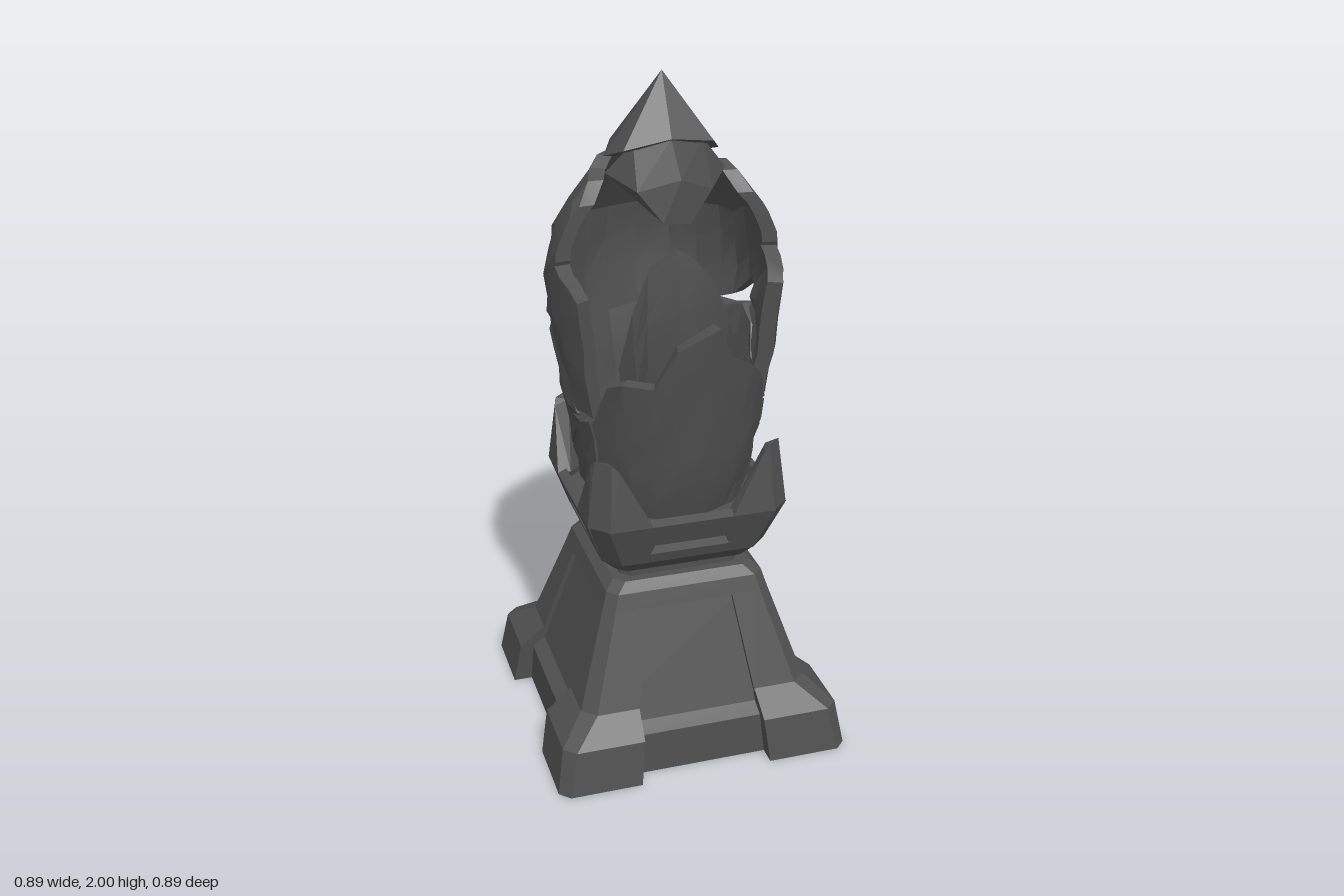
import * as THREE from 'three';
import { ConvexGeometry } from 'three/addons/geometries/ConvexGeometry.js';
import { toCreasedNormals } from 'three/addons/utils/BufferGeometryUtils.js';

const V = (x, y, z) => new THREE.Vector3(x, y, z);

export function createModel() {
  const model = new THREE.Group();
  const stone = new THREE.MeshStandardMaterial({ color: 0x505050 });
  stone.name = 'dark stone';

  const add = (name, geometry, parent = model) => {
    const mesh = new THREE.Mesh(geometry, stone);
    mesh.name = name;
    parent.add(mesh);
    return mesh;
  };
  const group = (name) => {
    const g = new THREE.Group();
    g.name = name;
    model.add(g);
    return g;
  };
  const hull = (name, points, parent) =>
    add(name, new ConvexGeometry(points.map((p) => V(...p))), parent);

  // Square ring with chamfered corners
  const ring = (y, h, c) => {
    const pts = [];
    for (const sx of [-1, 1]) for (const sz of [-1, 1])
      pts.push([sx * h, y, sz * (h - c)], [sx * (h - c), y, sz * h]);
    return pts;
  };
  // Stack of blocks between successive rings [y, half width, chamfer]
  const stack = (name, rings, parent) => {
    for (let i = 0; i + 1 < rings.length; i++)
      hull(name, [...ring(...rings[i]), ...ring(...rings[i + 1])], parent);
  };
  // Corner section of a square ring, from a to h on both axes
  const corner = (y, a, h, c) => [
    [a, y, a], [h, y, a], [a, y, h], [h, y, h - c], [h - c, y, h],
  ];
  const fourTimes = (build) => {
    for (let i = 0; i < 4; i++) build((i * Math.PI) / 2);
  };

  // Pedestal: recessed core, corner feet, pillars and top band
  const pedestal = group('pedestal');
  stack('pedestalCore', [[0, 0.39, 0.02], [0.13, 0.385, 0.02], [0.155, 0.345, 0.02], [0.51, 0.232, 0.02]], pedestal);
  stack('pedestalTopBand', [[0.48, 0.256, 0.03], [0.53, 0.241, 0.03], [0.555, 0.212, 0.03]], pedestal);
  fourTimes((turn) => {
    hull('foot', [
      ...corner(0, 0.2, 0.447, 0.03),
      ...corner(0.135, 0.185, 0.425, 0.035),
      ...corner(0.2, 0.18, 0.347, 0.04),
    ], pedestal).rotation.y = turn;
    hull('pillar', [
      ...corner(0.19, 0.18, 0.351, 0.04),
      ...corner(0.52, 0.13, 0.243, 0.03),
    ], pedestal).rotation.y = turn;
  });
  stack('neck', [[0.54, 0.185, 0.03], [0.6, 0.185, 0.03]], pedestal);

  // Crown bowl: inner core, slotted side plates and corner prongs
  const crown = group('crown');
  stack('bowlBase', [[0.585, 0.205, 0.03], [0.632, 0.25, 0.05]], crown);
  stack('bowlCore', [[0.625, 0.215, 0.05], [0.75, 0.262, 0.05]], crown);
  const tilt = Math.atan2(0.05, 0.14);
  const rise = Math.hypot(0.05, 0.14);
  const plate = new THREE.Shape([[-0.2, 0], [0.2, 0], [0.25, rise], [-0.25, rise]]
    .map((p) => new THREE.Vector2(...p)));
  plate.holes.push(new THREE.Path([[-0.12, 0.035], [-0.105, 0.08], [0.105, 0.08], [0.12, 0.035]]
    .map((p) => new THREE.Vector2(...p))));
  const plateGeometry = new THREE.ExtrudeGeometry(plate, { depth: 0.03, bevelEnabled: false })
    .translate(0, 0, -0.03).rotateX(tilt).translate(0, 0.63, 0.25);
  fourTimes((turn) => {
    add('slottedSide', plateGeometry, crown).rotation.y = turn;
    hull('prong', [
      [0.25, 0.63, 0.2], [0.2, 0.63, 0.25], [0.2, 0.63, 0.2],
      [0.3, 0.77, 0.12], [0.12, 0.77, 0.3], [0.3, 0.77, 0.245], [0.245, 0.77, 0.3],
      [0.26, 0.77, 0.12], [0.12, 0.77, 0.26],
      [0.282, 0.95, 0.215], [0.215, 0.95, 0.282], [0.275, 0.97, 0.235], [0.235, 0.97, 0.275],
      [0.235, 0.96, 0.235],
    ], crown).rotation.y = turn;
  });

  // Bud-shaped radius of the crystal at each height
  const profile = [[0.66, 0.2], [0.8, 0.25], [1, 0.288], [1.2, 0.318], [1.4, 0.343],
    [1.56, 0.32], [1.72, 0.215], [1.8, 0.165], [2, 0]];
  const radius = (y) => {
    let i = 0;
    while (i < profile.length - 2 && y > profile[i + 1][0]) i++;
    const [[y0, r0], [y1, r1]] = [profile[i], profile[i + 1]];
    return r0 + ((r1 - r0) * (y - y0)) / (y1 - y0);
  };

  // Curved broken slab; columns are [angle from front, bottom, top]
  const crystal = group('crystal');
  const shard = (name, columns, thick = 0.045, inset = 0) => {
    const rows = 6, n = rows * 2, pos = [], idx = [];
    columns.forEach(([deg, lo, hi], i) => {
      const a = THREE.MathUtils.degToRad(deg);
      for (let j = 0; j < n; j++) {
        const outer = j < rows;
        const k = outer ? j : n - 1 - j;
        const y = lo + ((hi - lo) * k) / (rows - 1);
        const chip = 0.005 * Math.sin(i * 5.3 + k * 2.1 + deg);
        const r = radius(y) - inset + chip - (outer ? 0 : thick);
        pos.push(r * Math.sin(a), y, r * Math.cos(a));
      }
    });
    for (let i = 0; i + 1 < columns.length; i++) for (let j = 0; j < n; j++) {
      const a = i * n + j, b = i * n + ((j + 1) % n);
      idx.push(a, a + n, b + n, a, b + n, b);
    }
    const end = (columns.length - 1) * n;
    for (let j = 0; j + 1 < rows; j++) {
      const o = j, p = j + 1, q = n - 2 - j, s = n - 1 - j;
      idx.push(o, p, q, o, q, s);
      idx.push(end + o, end + q, end + p, end + o, end + s, end + q);
    }
    const g = new THREE.BufferGeometry();
    g.setAttribute('position', new THREE.Float32BufferAttribute(pos, 3));
    g.setIndex(idx);
    add(name, toCreasedNormals(g, 0.3), crystal);
  };
  const mirrored = (columns) => columns.map(([a, lo, hi]) => [-a, lo, hi]).reverse();
  const pair = (name, columns) => {
    shard('left' + name, columns);
    shard('right' + name, mirrored(columns));
  };

  // Front shards
  shard('frontShard', [[-60, 0.76, 1.04], [-47, 0.75, 1.18], [-38, 0.74, 1.2], [-22, 0.74, 1.19],
    [-10, 0.74, 1.31], [3, 0.74, 1.35], [10, 0.74, 1.37], [18, 0.74, 1.27], [32, 0.74, 1.23],
    [42, 0.74, 1.19], [50, 0.75, 1.14], [60, 0.76, 1.03]]);
  shard('innerShard', [[-52, 0.8, 1.2], [-38, 0.8, 1.38], [-28, 0.8, 1.5], [-6, 0.8, 1.55],
    [6, 0.8, 1.53], [20, 0.8, 1.46], [34, 0.8, 1.33], [50, 0.8, 1.22]], 0.05, 0.1);

  // Side shards
  pair('SideShard', [[60, 1.06, 1.42], [67, 1.07, 1.45], [76, 1.06, 1.47], [84, 1.12, 1.49],
    [92, 1.23, 1.42], [99, 1.27, 1.36]]);
  pair('LowerSideShard', [[62, 0.77, 1.05], [74, 0.76, 1.03], [85, 0.75, 0.96], [96, 0.74, 0.9], [106, 0.74, 0.86]]);

  // Back shell, cracked across the middle
  const upperHalf = [[82, 1.5, 1.65], [90, 1.42, 1.71], [104, 1.35, 1.73], [116, 1.29, 1.72],
    [127, 1.27, 1.75], [143, 1.25, 1.76], [160, 1.23, 1.77]];
  const lowerHalf = [[72, 1.03, 1.06], [82, 0.98, 1.13], [95, 0.92, 1.23], [108, 0.87, 1.27],
    [120, 0.87, 1.25], [140, 0.84, 1.255], [160, 0.8, 1.235]];
  const around = (half, middle) =>
    [...half, middle, ...half.map(([a, lo, hi]) => [360 - a, lo, hi]).reverse()];
  shard('upperBackShell', around(upperHalf, [180, 1.24, 1.77]));
  shard('lowerBackShell', around(lowerHalf, [180, 0.78, 1.245]));

  // Floating tip and the fragment hanging below it
  hull('tip', [[0, 2, -0.02], [-0.165, 1.77, -0.03], [0.17, 1.77, -0.03], [-0.13, 1.8, 0.05],
    [0.13, 1.81, 0.05], [0, 1.83, 0.075], [-0.12, 1.79, -0.13], [0.12, 1.79, -0.13],
    [0, 1.8, -0.18], [0, 1.75, -0.05]], crystal);
  hull('tipFragment', [[-0.1, 1.82, 0.04], [0.1, 1.82, 0.04], [0, 1.83, 0.07], [-0.17, 1.73, 0.0],
    [0.18, 1.72, 0.0], [-0.1, 1.69, 0.08], [0.12, 1.68, 0.07], [0.02, 1.72, 0.1],
    [-0.03, 1.6, 0.1], [0.05, 1.59, 0.09], [0, 1.62, 0.04], [0, 1.75, -0.08]], crystal);

  return model;
}
